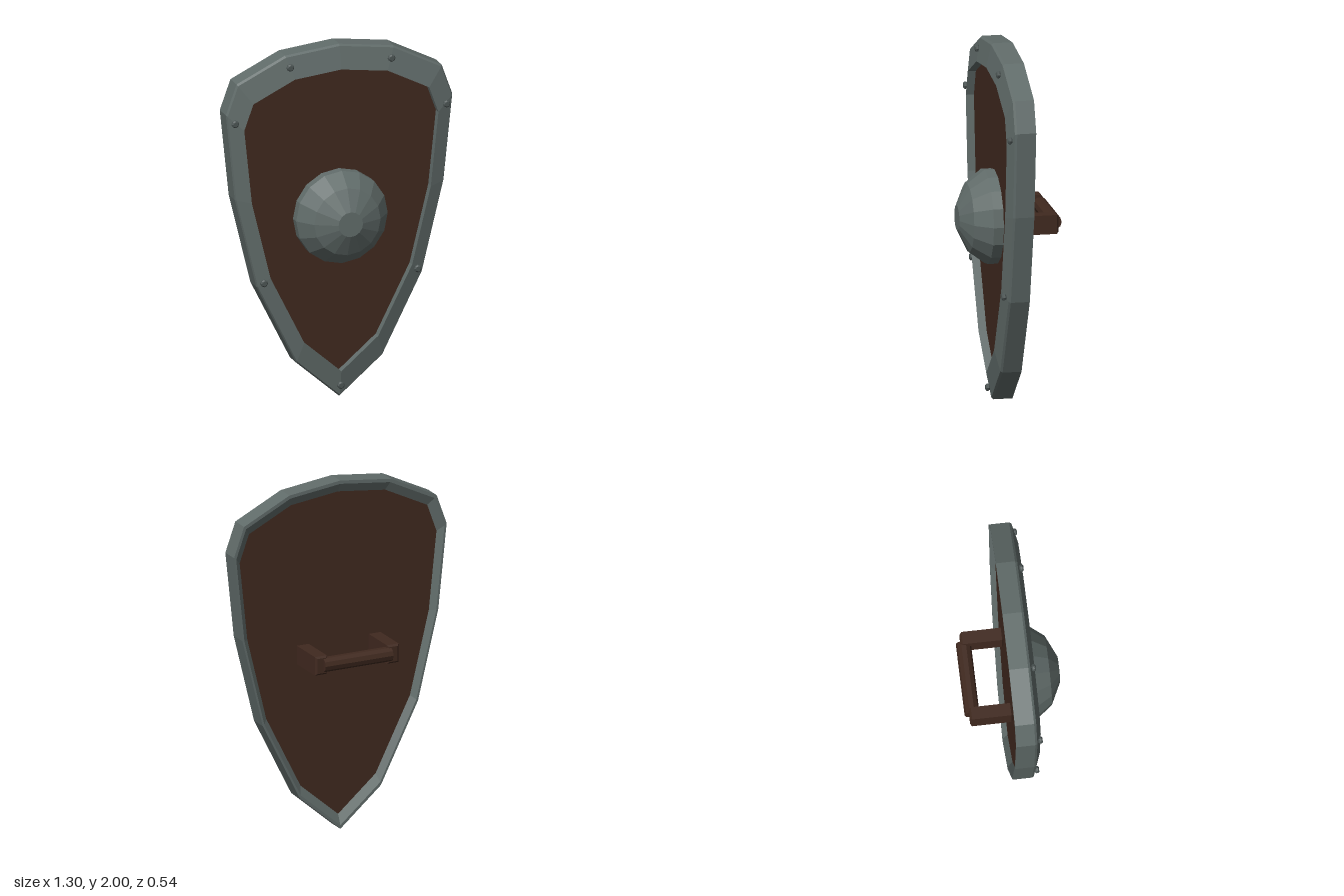
import * as THREE from 'three';

const steel = new THREE.MeshStandardMaterial({ name: 'steel', color: 0x616c6a, flatShading: true });
const darkSteel = new THREE.MeshStandardMaterial({ name: 'rivet steel', color: 0x4c5554, flatShading: true });
const wood = new THREE.MeshStandardMaterial({ name: 'dark wood', color: 0x40291f, flatShading: true });

// Right half of the outline from the bottom tip to the top, then mirrored (counter-clockwise)
const half = [[0, 0], [0.247, 0.213], [0.473, 0.663], [0.597, 1.17], [0.648, 1.655], [0.587, 1.825], [0.31, 1.962], [0, 2]];
const outline = [...half, ...half.slice(1, -1).reverse().map(([x, y]) => [-x, y])];
const CENTRE_Y = 1.05;
const scaled = (s) => outline.map(([x, y]) => [x * s, CENTRE_Y + (y - CENTRE_Y) * s]);

function add(parent, name, geometry, material, x = 0, y = 0, z = 0) {
  const mesh = new THREE.Mesh(geometry, material);
  mesh.name = name;
  mesh.position.set(x, y, z);
  parent.add(mesh);
  return mesh;
}

// Sweeps a closed (scale, z) cross-section around the outline
function rimGeometry(section) {
  const n = outline.length, m = section.length;
  const positions = [], index = [];
  for (const [s, z] of section) for (const [x, y] of scaled(s)) positions.push(x, y, z);
  for (let k = 0; k < m; k++) {
    for (let i = 0; i < n; i++) {
      const j = (i + 1) % n, k2 = (k + 1) % m;
      const a = k * n + i, b = k * n + j, c = k2 * n + j, d = k2 * n + i;
      index.push(a, b, c, a, c, d);
    }
  }
  const g = new THREE.BufferGeometry();
  g.setAttribute('position', new THREE.Float32BufferAttribute(positions, 3));
  g.setIndex(index);
  const flat = g.toNonIndexed();
  flat.computeVertexNormals();
  return flat;
}

// Block with chamfered edges, centred on the origin
function chamferedBlock(w, h, d, c) {
  const x = w / 2 - c, y = h / 2 - c;
  const shape = new THREE.Shape([[-x, -y], [x, -y], [x, y], [-x, y]].map(([a, b]) => new THREE.Vector2(a, b)));
  const g = new THREE.ExtrudeGeometry(shape, { depth: d - 2 * c, bevelSize: c, bevelThickness: c, bevelSegments: 1 });
  return g.translate(0, 0, -(d / 2 - c));
}

// Lathe of (radius, height) points whose axis points forward
function forwardLathe(points, sides) {
  const profile = points.map(([r, z]) => new THREE.Vector2(r, z));
  return new THREE.LatheGeometry(profile, sides).rotateX(Math.PI / 2);
}

export function createModel() {
  const shield = new THREE.Group();
  shield.name = 'shield';

  // Wooden board
  const boardShape = new THREE.Shape(scaled(0.927).map(([x, y]) => new THREE.Vector2(x, y)));
  add(shield, 'board', new THREE.ExtrudeGeometry(boardShape, { depth: 0.072, bevelEnabled: false }), wood, 0, 0, -0.012);

  // Metal rim, raised towards the board in front and sloped inward behind
  add(shield, 'rim', rimGeometry([
    [1, -0.04], [1, 0.065], [0.99, 0.077], [0.8575, 0.105], [0.8575, 0.05], [0.924, -0.011], [0.98, -0.04],
  ]), steel);

  // Faceted domed boss
  const dome = [[0.262, 0.05], [0.262, 0.115], [0.19, 0.21], [0.07, 0.268], [0, 0.268]];
  add(shield, 'boss', forwardLathe(dome, 16), steel, 0, 1.03, 0);

  // Rivets around the rim
  const rivets = [[0, 0.07]];
  for (const s of [-1, 1]) rivets.push([s * 0.29, 1.9], [s * 0.605, 1.61], [s * 0.44, 0.69]);
  const rivetGeometry = forwardLathe([[0, -0.012], [0.015, -0.012], [0.021, -0.005], [0.021, 0.004], [0.014, 0.011], [0, 0.011]], 8);
  for (const [x, y] of rivets) add(shield, 'rivet', rivetGeometry, darkSteel, x, y, 0.098);

  // Handle behind the board
  const handle = new THREE.Group();
  handle.name = 'handle';
  shield.add(handle);
  for (const s of [-1, 1]) {
    add(handle, 'handlePost', chamferedBlock(0.072, 0.106, 0.235, 0.01), wood, s * 0.219, 1.032, -0.1275);
  }
  const grip = add(handle, 'grip', new THREE.CylinderGeometry(0.041, 0.041, 0.414, 10), wood, 0, 1.032, -0.23);
  grip.rotation.z = Math.PI / 2;

  return shield;
}
